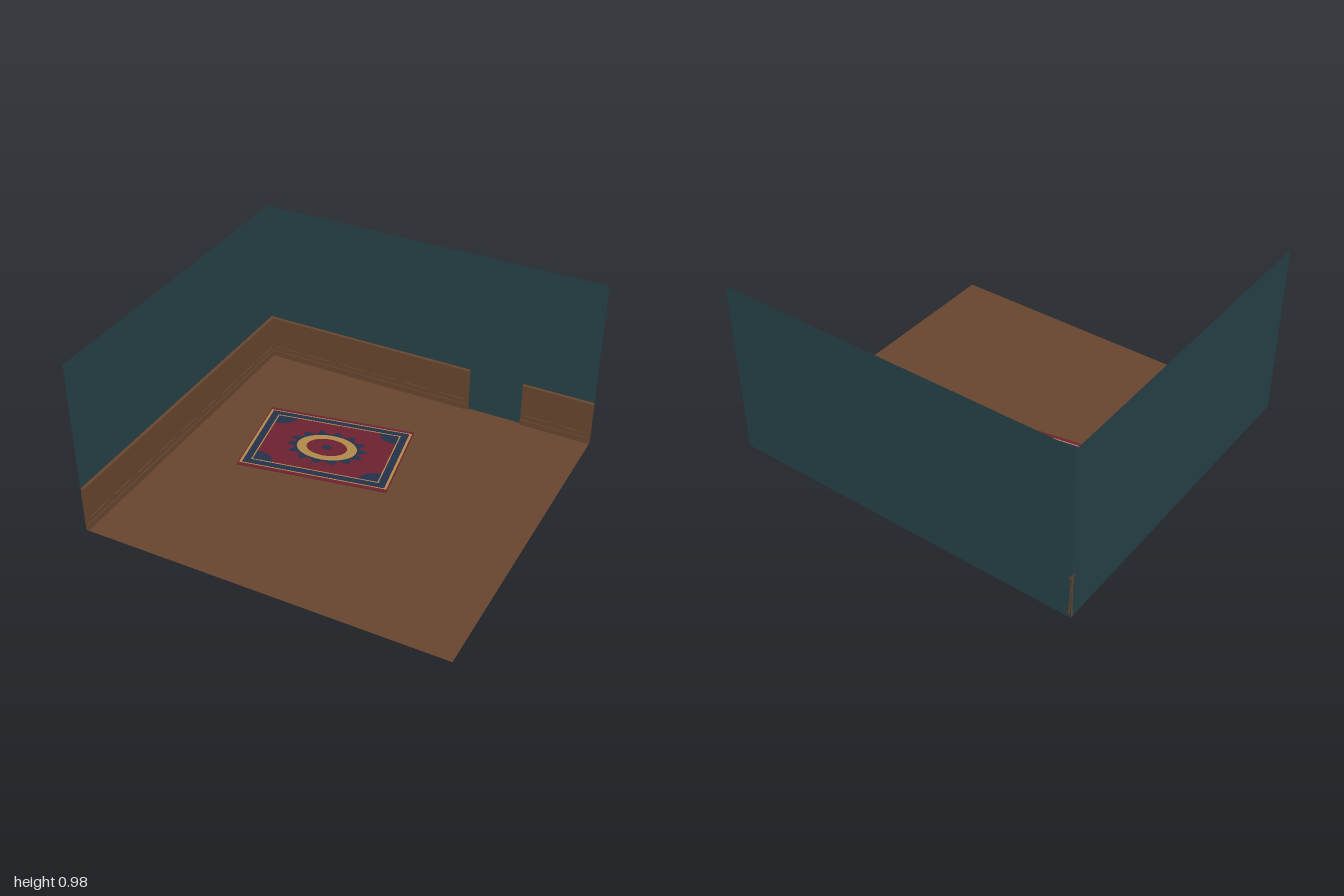
import * as THREE from 'three';

const mat = (name, color, side = THREE.FrontSide) => {
  const m = new THREE.MeshStandardMaterial({ color, side });
  m.name = name;
  return m;
};
const wallTeal = mat('wallTeal', 0x254046, THREE.DoubleSide);
const wood = mat('wood', 0x66442e, THREE.DoubleSide);
const crimson = mat('crimson', 0x6b212f);
const navy = mat('navy', 0x24304a);
const gold = mat('gold', 0xb0884a);

const W = 2, D = 1.87, H = 0.98;

function add(parent, name, geometry, material, x = 0, y = 0, z = 0) {
  const m = new THREE.Mesh(geometry, material);
  m.name = name;
  m.position.set(x, y, z);
  parent.add(m);
  return m;
}

function rectPath(PathType, x0, y0, x1, y1) {
  const p = new PathType();
  p.moveTo(x0, y0);
  p.lineTo(x1, y0);
  p.lineTo(x1, y1);
  p.lineTo(x0, y1);
  p.closePath();
  return p;
}

// Wainscot run along +x from its origin, facing +z
function wainscot(name, length, panels) {
  const g = new THREE.Group();
  g.name = name;
  const box = (part, y0, y1, depth) =>
    add(g, part, new THREE.BoxGeometry(length, y1 - y0, depth), wood,
      length / 2, (y0 + y1) / 2, depth / 2 + 0.001);
  box('backing', 0, 0.25, 0.005);
  box('baseboard', 0, 0.035, 0.016);
  box('chairRail', 0.247, 0.262, 0.02);
  box('railMoulding', 0.238, 0.247, 0.015);

  // Stiles and rails around recessed panels
  const frame = rectPath(THREE.Shape, 0, 0.03, length, 0.245);
  const step = length / panels;
  for (let i = 0; i < panels; i++)
    frame.holes.push(rectPath(THREE.Path, i * step + 0.026, 0.062, (i + 1) * step - 0.026, 0.212));
  add(g, 'panelFrame', new THREE.ExtrudeGeometry(frame, { depth: 0.007, bevelEnabled: false }),
    wood, 0, 0, 0.005);
  return g;
}

// Rug pattern, layered as flat faces
function rug() {
  const g = new THREE.Group();
  g.name = 'rug';
  const w = 0.833, d = 0.56;
  add(g, 'rugBase', new THREE.BoxGeometry(w, 0.004, d), crimson, 0, 0.002, 0);

  const flat = (name, shape, material, y) => {
    const geo = new THREE.ShapeGeometry(shape, 48);
    geo.rotateX(-Math.PI / 2);
    return add(g, name, geo, material, 0, y, 0);
  };
  const inset = (T, ix, iz) => rectPath(T, -w / 2 + ix, -d / 2 + iz, w / 2 - ix, d / 2 - iz);
  const band = (name, material, y, outer, inner) => {
    const s = inset(THREE.Shape, ...outer);
    s.holes.push(inset(THREE.Path, ...inner));
    flat(name, s, material, y);
  };
  band('outerGoldBorder', gold, 0.005, [0.006, 0.02], [0.02, 0.027]);
  band('navyBorder', navy, 0.005, [0.02, 0.027], [0.062, 0.062]);
  band('innerGoldBorder', gold, 0.007, [0.06, 0.06], [0.067, 0.067]);

  // Quarter ovals in the corners of the field
  for (const sx of [-1, 1])
    for (const sz of [-1, 1]) {
      const cx = sx * (w / 2 - 0.062), cz = sz * (d / 2 - 0.062);
      const s = new THREE.Shape();
      s.moveTo(cx, cz);
      for (let i = 0; i <= 12; i++) {
        const a = (i / 12) * Math.PI / 2;
        s.lineTo(cx - sx * 0.115 * Math.cos(a), cz - sz * 0.08 * Math.sin(a));
      }
      flat('cornerOval', s, navy, 0.006);
    }

  // Medallion with a toothed rim
  const star = new THREE.Shape();
  const teeth = 14;
  for (let i = 0; i < teeth * 4; i++) {
    const r = i % 4 < 2 ? 1 : 0.83;
    const a = ((i + 0.5) / (teeth * 4)) * Math.PI * 2;
    star[i ? 'lineTo' : 'moveTo'](0.222 * r * Math.cos(a), 0.149 * r * Math.sin(a));
  }
  const oval = (rx, rz) => new THREE.Shape().absellipse(0, 0, rx, rz, 0, Math.PI * 2, false, 0);
  flat('medallionRim', star, navy, 0.005);
  flat('medallionRing', oval(0.168, 0.112), gold, 0.006);
  flat('medallionField', oval(0.113, 0.075), crimson, 0.007);
  flat('medallionCentre', oval(0.028, 0.019), navy, 0.008);
  return g;
}

export function createModel() {
  const room = new THREE.Group();
  room.name = 'roomCorner';

  // Floor and two walls
  add(room, 'floor', new THREE.PlaneGeometry(W, D).rotateX(-Math.PI / 2), wood);
  add(room, 'backWall', new THREE.PlaneGeometry(W, H), wallTeal, 0, H / 2, -D / 2);
  add(room, 'sideWall', new THREE.PlaneGeometry(D, H).rotateY(Math.PI / 2), wallTeal, -W / 2, H / 2, 0);

  // Wainscot, with a doorway gap in the back wall
  const long = wainscot('backWainscotLong', 1.28, 6);
  long.position.set(-1, 0, -D / 2);
  const short = wainscot('backWainscotShort', 0.405, 2);
  short.position.set(0.595, 0, -D / 2);
  const side = wainscot('sideWainscot', D, 9);
  side.position.set(-1, 0, D / 2);
  side.rotation.y = Math.PI / 2;

  const carpet = rug();
  carpet.position.set(-0.253, 0.0005, -0.226);
  carpet.rotation.y = 0.175;

  room.add(long, short, side, carpet);
  return room;
}
